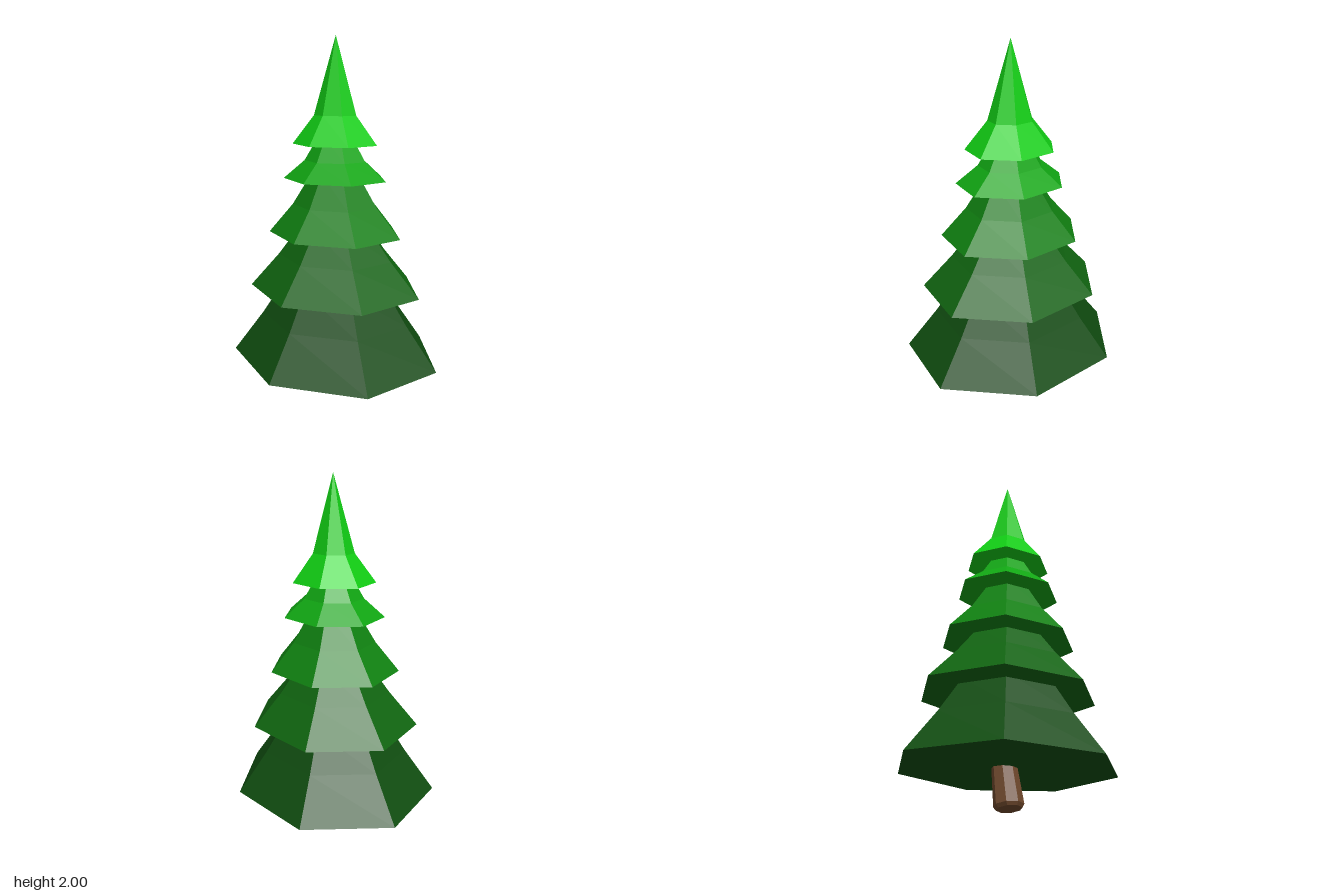
import * as THREE from 'three';

const material = (name, color) => {
  const m = new THREE.MeshStandardMaterial({ color, flatShading: true });
  m.name = name;
  return m;
};

// Faceted solid of revolution from [radius, height] pairs, listed bottom to top
function facetedSolid(name, profile, sides, mat) {
  const points = profile.map(([r, y]) => new THREE.Vector2(r, y));
  const geometry = new THREE.LatheGeometry(points, sides, Math.PI).toNonIndexed();
  geometry.computeVertexNormals();
  const mesh = new THREE.Mesh(geometry, mat);
  mesh.name = name;
  return mesh;
}

export function createModel() {
  const tree = new THREE.Group();
  tree.name = 'pineTree';
  const squash = 0.89; // the tree is a little narrower across x

  // Foliage tiers: flat underside, flared skirt, steeper upper part
  const tiers = [
    ['deepGreen', 0x104d10, [[0, 0.22], [0.631, 0.22], [0.449, 0.45], [0.31, 0.65], [0, 0.65]]],
    ['darkGreen', 0x106510, [[0, 0.615], [0.518, 0.615], [0.346, 0.8], [0.21, 0.97], [0, 0.97]]],
    ['midGreen', 0x108111, [[0, 0.93], [0.4, 0.93], [0.256, 1.09], [0.138, 1.27], [0, 1.27]]],
    ['lightGreen', 0x11a613, [[0, 1.235], [0.309, 1.235], [0.184, 1.335], [0.105, 1.46], [0, 1.46]]],
    ['brightGreen', 0x11cd14, [[0, 1.425], [0.254, 1.425], [0.127, 1.58], [0, 2]]],
  ];
  const foliage = new THREE.Group();
  foliage.name = 'foliage';
  foliage.position.z = 0.03;
  foliage.scale.x = squash;
  tiers.forEach(([colour, hex, profile], i) => {
    foliage.add(facetedSolid(`foliageTier${i + 1}`, profile, 7, material(colour, hex)));
  });
  tree.add(foliage);

  // Leaning, tapered trunk with a bevelled foot
  const trunk = facetedSolid(
    'trunk',
    [[0, 0], [0.07, 0], [0.082, 0.018], [0.07, 0.22], [0.06, 0.4], [0, 0.4]],
    8,
    material('barkBrown', 0x70492d),
  );
  trunk.scale.x = squash;
  trunk.position.set(-0.055, 0.011, -0.012);
  trunk.rotation.z = -0.175;
  tree.add(trunk);

  return tree;
}
